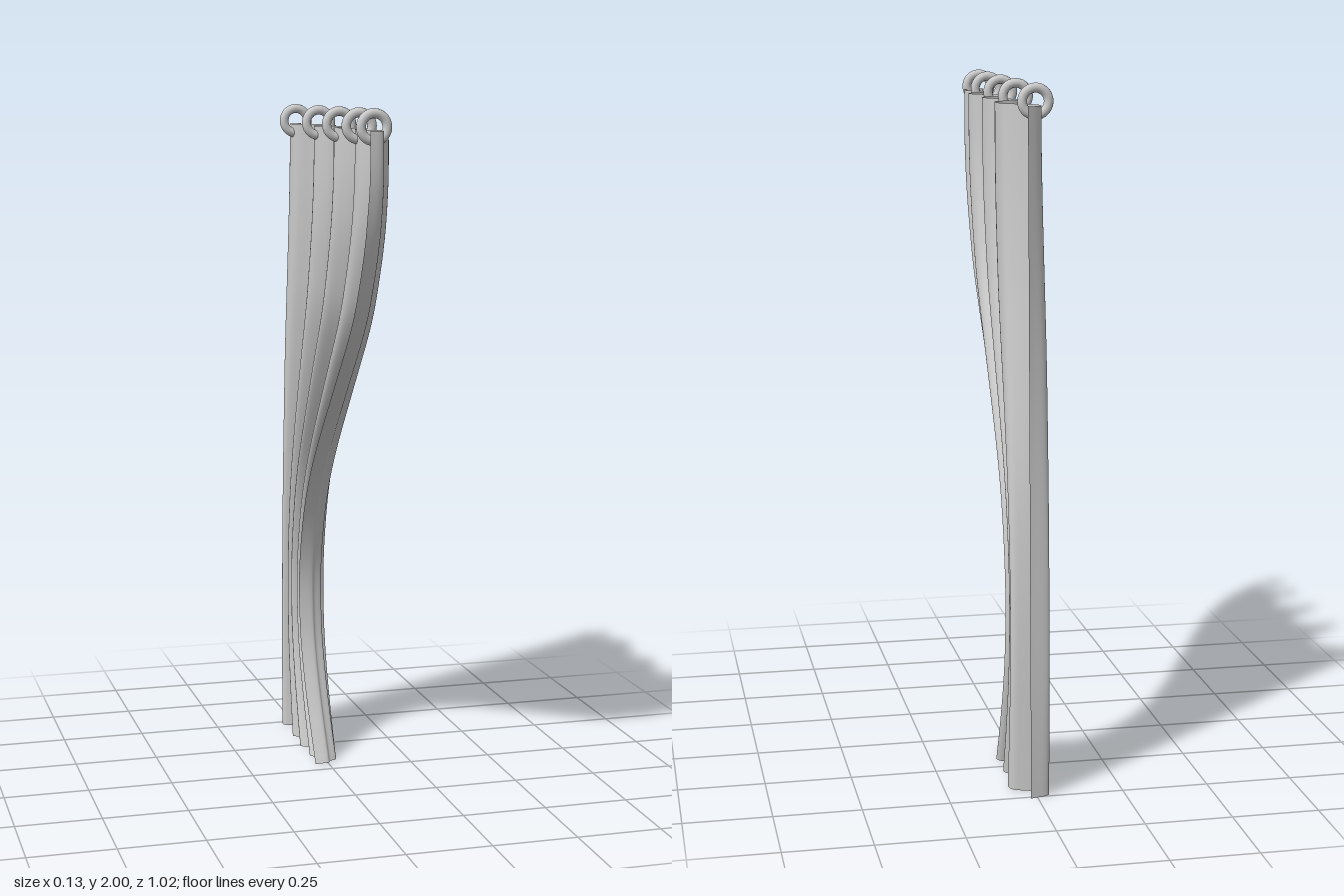
import * as THREE from 'three';

const points = (list) => new THREE.SplineCurve(list.map(([a, b]) => new THREE.Vector2(a, b)));

// Pleat outline along the top hem: (z, x), front edge to back edge
const pleats = points([
  [0.512, -0.037], [0.505, 0], [0.475, 0.012], [0.445, 0.034], [0.405, 0.03], [0.38, 0], [0.355, -0.02],
  [0.325, -0.025], [0.3, -0.015], [0.28, 0.03], [0.25, 0.056], [0.195, 0.045], [0.16, 0],
  [0.125, -0.028], [0.085, -0.015], [0.07, 0.028], [0.03, 0.056], [-0.03, 0.04], [-0.06, 0],
  [-0.1, -0.026], [-0.145, -0.012], [-0.165, 0.04], [-0.2, 0.064], [-0.275, 0.06], [-0.31, 0.03],
  [-0.345, -0.018], [-0.385, -0.027], [-0.42, -0.018], [-0.445, 0.02],
]);

// Swept front edge of the drape: (y, z), hem to top
const frontEdge = points([
  [0, -0.055], [0.13, -0.135], [0.27, -0.205], [0.4, -0.243], [0.56, -0.25], [0.72, -0.21],
  [0.86, -0.14], [1.0, -0.03], [1.2, 0.16], [1.38, 0.33], [1.5, 0.41], [1.65, 0.48],
  [1.8, 0.512], [1.94, 0.512],
]);

const TOP = 1.94;

function curtainGeometry() {
  const geometry = new THREE.PlaneGeometry(1, 1, 140, 39);
  const pos = geometry.attributes.position;
  const uv = geometry.attributes.uv;
  for (let i = 0; i < pos.count; i++) {
    const fold = pleats.getPoint(uv.getX(i));
    const edge = frontEdge.getPoint(uv.getY(i));
    const y = edge.x;
    // gather each row between the swept edge and the nearly straight back edge
    const back = THREE.MathUtils.lerp(-0.51, -0.445, y / TOP);
    const across = (0.512 - fold.x) / 0.957;
    // the valleys deepen a little below the heading
    const deepen = 1 + 0.4 * THREE.MathUtils.smoothstep(TOP - y, 0, 0.8);
    const x = fold.y < 0 ? Math.max(fold.y * deepen, -0.04) : fold.y;
    pos.setXYZ(i, x, y, THREE.MathUtils.lerp(edge.y, back, across));
  }
  geometry.computeVertexNormals();
  return geometry;
}

export function createModel() {
  const group = new THREE.Group();
  group.name = 'tiedBackCurtain';

  // Gathered cloth
  const clothMaterial = new THREE.MeshStandardMaterial({ color: 0xcccccc, side: THREE.DoubleSide });
  const cloth = new THREE.Mesh(curtainGeometry(), clothMaterial);
  cloth.name = 'curtainCloth';
  group.add(cloth);

  // Hanging rings, one at each valley of the heading
  const ringMaterial = new THREE.MeshStandardMaterial({ color: 0xcccccc });
  const ringGeometry = new THREE.TorusGeometry(0.037, 0.0135, 12, 28);
  [0.475, 0.33, 0.125, -0.1, -0.37].forEach((z, i) => {
    const ring = new THREE.Mesh(ringGeometry, ringMaterial);
    ring.name = `curtainRing${i + 1}`;
    ring.position.set(-0.016, 1.9495, z);
    group.add(ring);
  });
  return group;
}
